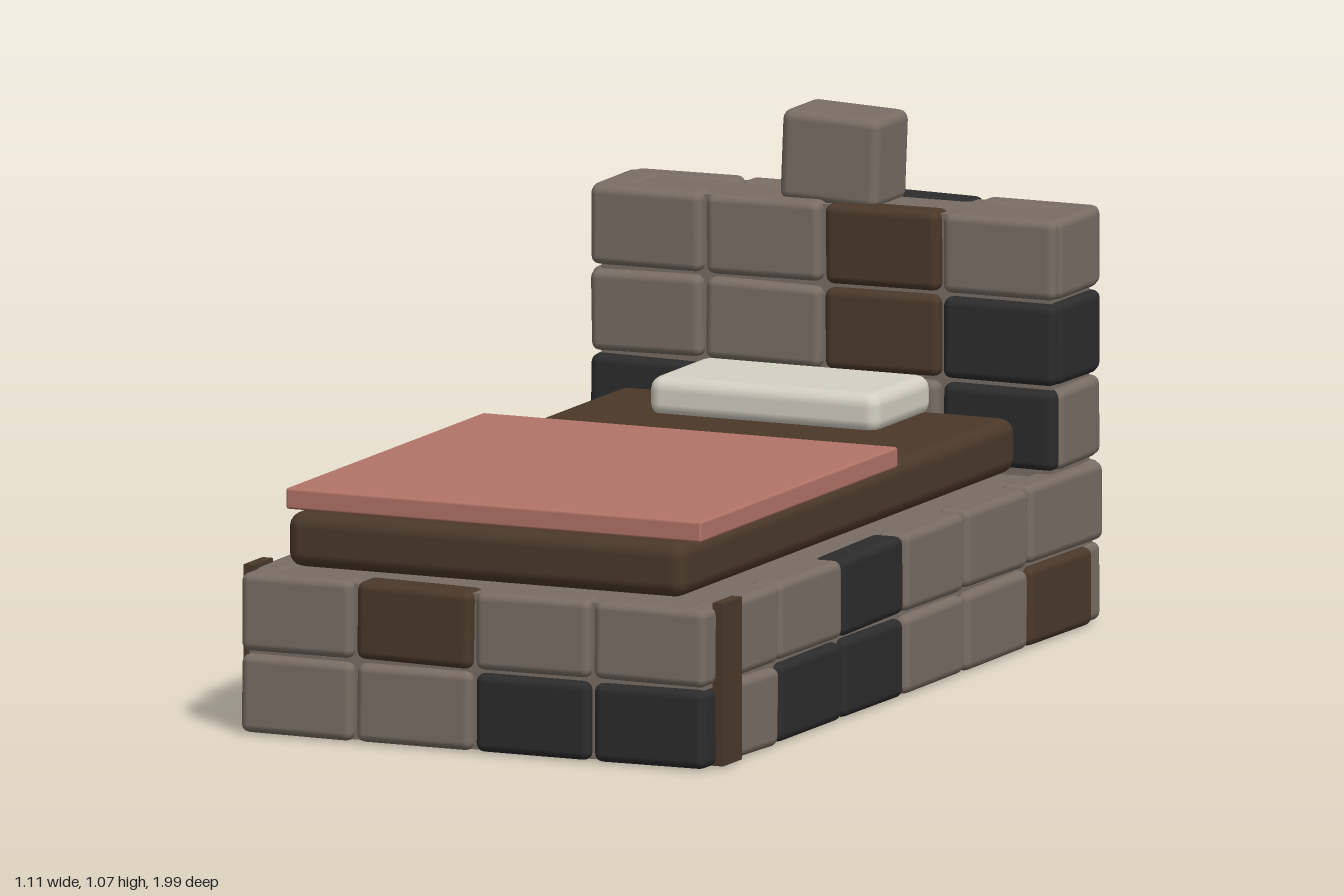
import * as THREE from 'three';
import { RoundedBoxGeometry } from 'three/addons/geometries/RoundedBoxGeometry.js';

const material = (name, color) => {
  const m = new THREE.MeshStandardMaterial({ color });
  m.name = name;
  return m;
};

export function createModel() {
  const stone = material('stone grey', 0x796e65);
  const dark = material('charcoal stone', 0x2c2c2c);
  const brown = material('brown', 0x4b392a);
  const red = material('blanket red', 0xb37468);
  const cream = material('pillow cream', 0xd4d0c4);
  const palette = { g: stone, d: dark, b: brown };

  const model = new THREE.Group();
  model.name = 'stoneBed';

  // small seeded generator for the uneven masonry
  let seed = 11;
  const jitter = (amount) => {
    seed = (seed * 16807) % 2147483647;
    return (seed / 2147483647 - 0.5) * 2 * amount;
  };

  // box given by its min and max corners, rounded when r > 0
  function block(parent, name, mat, [x0, y0, z0], [x1, y1, z1], r = 0) {
    const w = x1 - x0, h = y1 - y0, d = z1 - z0;
    const geometry = r ? new RoundedBoxGeometry(w, h, d, 2, r) : new THREE.BoxGeometry(w, h, d);
    const mesh = new THREE.Mesh(geometry, mat);
    mesh.name = name;
    mesh.position.set((x0 + x1) / 2, (y0 + y1) / 2, (z0 + z1) / 2);
    parent.add(mesh);
    return mesh;
  }

  function stoneBlock(parent, name, mat, min, max) {
    const mesh = block(parent, name, mat, min, max, 0.018);
    const [w, , d] = max.map((v, i) => v - min[i]);
    // tilt mostly in the plane of the wall
    mesh.rotation.set(jitter(d > w ? 0.018 : 0.01), jitter(0.018), jitter(d > w ? 0.01 : 0.018));
    return mesh;
  }

  const rowBottom = [0.006, 0.181, 0.358, 0.538, 0.72];
  const rowTop = [0.173, 0.347, 0.528, 0.711, 0.89];
  const colEdge = [-0.542, -0.275, 0, 0.273, 0.542];

  // wall facing front or back; rows listed upwards, letters run from -x to +x
  function endWall(name, rows, firstRow, z0, z1) {
    const wall = new THREE.Group();
    wall.name = name;
    rows.forEach((letters, r) => [...letters].forEach((c, i) => {
      stoneBlock(wall, 'stone', palette[c],
        [colEdge[i] + 0.005, rowBottom[r + firstRow], z0],
        [colEdge[i + 1] - 0.005, rowTop[r + firstRow], z1]);
    }));
    model.add(wall);
  }

  // long side wall; letters run from the foot to the head
  function sideWall(name, rows, side) {
    const wall = new THREE.Group();
    wall.name = name;
    const edge = [0.93, 0.63, 0.315, 0.005, -0.3, -0.615, -0.935];
    rows.forEach((letters, r) => [...letters].forEach((c, i) => {
      const back = r === 1 && i === 5 ? -0.985 : edge[i + 1] + 0.005;
      const x = [side * 0.47, side * 0.546].sort((a, b) => a - b);
      stoneBlock(wall, 'stone', palette[c],
        [x[0], rowBottom[r], back], [x[1], rowTop[r], edge[i] - 0.005]);
    }));
    model.add(wall);
  }

  // mortar cores behind the stones
  block(model, 'baseCore', stone, [-0.525, 0.008, -0.968], [0.525, 0.34, 0.968]);
  block(model, 'headboardCore', stone, [-0.52, 0.34, -0.965], [0.52, 0.884, -0.775]);

  // masonry walls
  endWall('footWall', ['ggdd', 'gbgg'], 0, 0.91, 0.992);
  endWall('backWall', ['dgbg', 'bggg', 'ggdg', 'gggd', 'ggdg'], 0, -0.992, -0.92);
  endWall('headboardFront', ['dggd', 'ggbd', 'ggbg'], 2, -0.82, -0.748);
  sideWall('leftWall', ['gddggb', 'ggdggg'], 1);
  sideWall('rightWall', ['ggbggg', 'gggggg'], -1);

  // end stones of the headboard
  for (const side of [-1, 1]) {
    ['g', 'd', 'g'].forEach((c, r) => {
      const x = [side * 0.46, side * 0.544].sort((a, b) => a - b);
      stoneBlock(model, 'headboardEndStone', side > 0 ? palette[c] : stone,
        [x[0], rowBottom[r + 2], -0.965], [x[1], rowTop[r + 2], -0.77]);
    });
  }

  // capstone on the headboard
  const cap = block(model, 'capstone', stone, [-0.115, 0.878, -0.95], [0.112, 1.073, -0.785], 0.022);
  cap.rotation.z = -0.04;

  // upright planks near the foot
  for (const side of [-1, 1]) {
    const x = [side * 0.53, side * 0.554].sort((a, b) => a - b);
    block(model, 'sidePlank', brown, [x[0], 0.008, 0.84], [x[1], 0.355, 0.935]);
  }

  // bedding
  block(model, 'mattress', brown, [-0.46, 0.355, -0.74], [0.46, 0.472, 0.932], 0.032);
  block(model, 'blanket', red, [-0.48, 0.47, -0.098], [0.48, 0.515, 0.885], 0.006);
  block(model, 'pillow', cream, [-0.268, 0.462, -0.738], [0.265, 0.55, -0.455], 0.03);

  return model;
}
